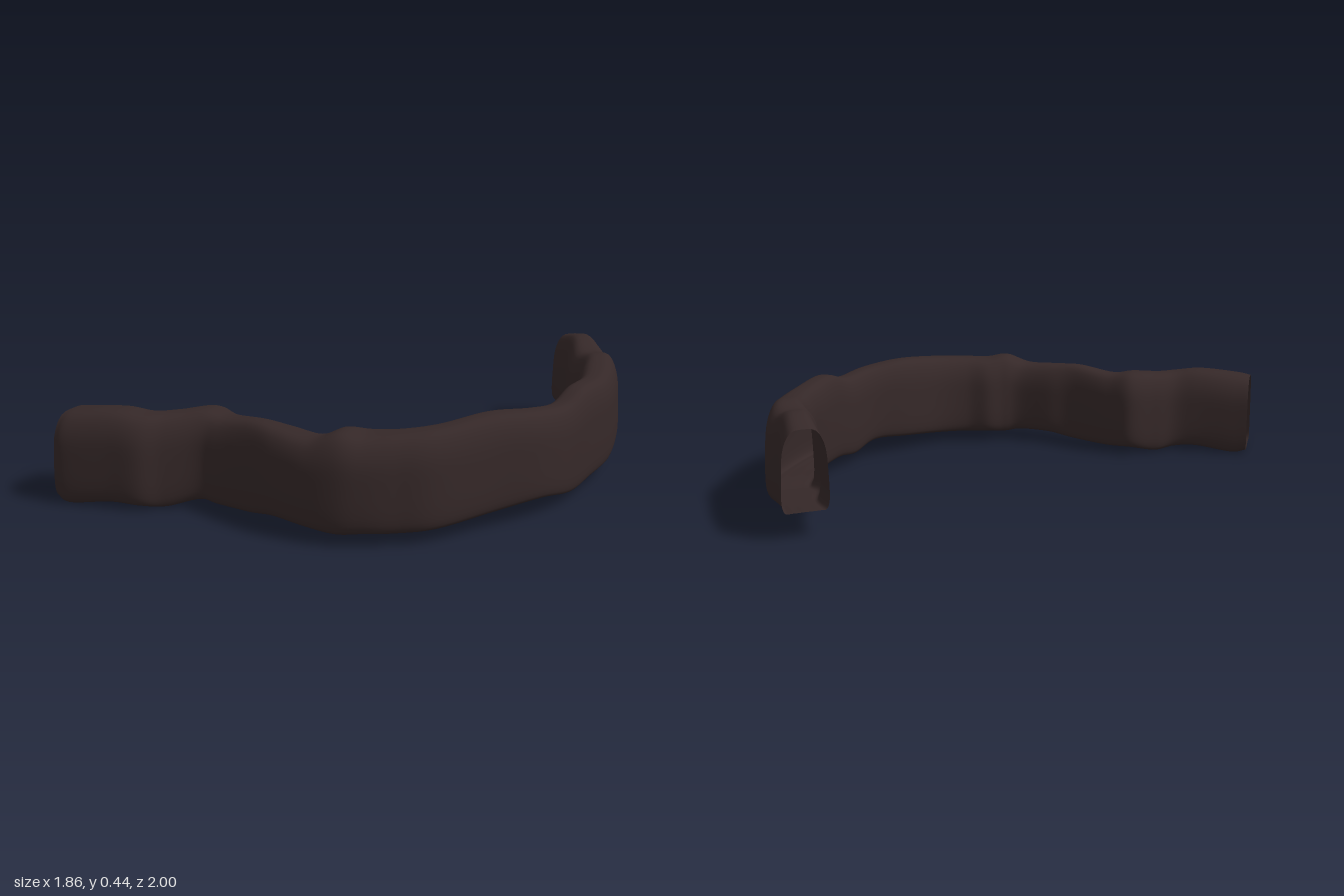
import * as THREE from 'three';

// Stations along the passage: inner x, inner z, outer x, outer z, floor y, roof y
const STATIONS = [
  [-0.93, 0.70, -0.93, 0.98, 0.02, 0.34],
  [-0.86, 0.705, -0.87, 0.995, 0.005, 0.35],
  [-0.70, 0.715, -0.70, 0.97, 0.025, 0.365],
  [-0.60, 0.705, -0.58, 0.95, 0.02, 0.355],
  [-0.52, 0.645, -0.50, 0.89, 0.01, 0.355],
  [-0.41, 0.57, -0.39, 0.83, 0.035, 0.365],
  [-0.29, 0.615, -0.31, 0.835, 0.03, 0.35],
  [-0.12, 0.70, -0.15, 0.87, 0.035, 0.37],
  [0.00, 0.715, -0.03, 0.92, 0.055, 0.365],
  [0.14, 0.74, 0.12, 0.97, 0.055, 0.36],
  [0.21, 0.72, 0.25, 0.975, 0.045, 0.395],
  [0.28, 0.675, 0.35, 0.945, 0.05, 0.385],
  [0.38, 0.66, 0.45, 0.89, 0.05, 0.39],
  [0.49, 0.58, 0.57, 0.80, 0.055, 0.4],
  [0.60, 0.42, 0.71, 0.59, 0.07, 0.415],
  [0.70, 0.28, 0.83, 0.40, 0.08, 0.40],
  [0.74, 0.14, 0.885, 0.20, 0.05, 0.385],
  [0.76, 0.00, 0.915, 0.03, 0.065, 0.42],
  [0.76, -0.19, 0.925, -0.20, 0.065, 0.41],
  [0.725, -0.36, 0.895, -0.43, 0.075, 0.415],
  [0.70, -0.47, 0.85, -0.59, 0.065, 0.425],
  [0.63, -0.56, 0.79, -0.72, 0.075, 0.41],
  [0.57, -0.73, 0.69, -0.85, 0.085, 0.44],
  [0.47, -0.89, 0.61, -1.0, 0.105, 0.41],
];

// Arched half section from floor centre to roof centre (across, up), then mirrored
const HALF = [[0, 0], [0.55, 0], [0.9, 0.015], [1, 0.12], [0.985, 0.45], [0.9, 0.75], [0.6, 0.95], [0, 1]];

function archSection(count) {
  const mirrored = HALF.slice(1, -1).reverse().map(([u, v]) => [-u, v]);
  const pts = [...HALF, ...mirrored].map(([u, v]) => new THREE.Vector3(u, v, 0));
  return new THREE.CatmullRomCurve3(pts, true).getPoints(count);
}

// Skin the arch along the two guide curves, leaving both ends open
function passageGeometry(steps, sides) {
  const guide = (a, b, c) => new THREE.CatmullRomCurve3(
    STATIONS.map((s) => new THREE.Vector3(s[a], s[b], s[c])), false, 'catmullrom', 0.5);
  const inner = guide(0, 4, 1);
  const outer = guide(2, 5, 3);
  const section = archSection(sides);
  const position = [];
  const index = [];
  for (let i = 0; i <= steps; i++) {
    const a = inner.getPoint(i / steps);
    const b = outer.getPoint(i / steps);
    for (let j = 0; j < sides; j++) {
      const { x: u, y: v } = section[j];
      const k = (u + 1) / 2;
      position.push(
        THREE.MathUtils.lerp(a.x, b.x, k),
        THREE.MathUtils.lerp(a.y, b.y, v),
        THREE.MathUtils.lerp(a.z, b.z, k));
      if (i < steps) {
        const n = (j + 1) % sides;
        const p = i * sides + j, q = i * sides + n;
        index.push(p, q, p + sides, q, q + sides, p + sides);
      }
    }
  }
  const geometry = new THREE.BufferGeometry();
  geometry.setAttribute('position', new THREE.Float32BufferAttribute(position, 3));
  geometry.setIndex(index);
  geometry.computeVertexNormals();
  return geometry;
}

export function createModel() {
  const model = new THREE.Group();
  model.name = 'curvedTunnel';
  const rock = new THREE.MeshStandardMaterial({ color: 0x352828, side: THREE.DoubleSide });
  const passage = new THREE.Mesh(passageGeometry(184, 48), rock);
  passage.name = 'tunnelPassage';
  model.add(passage);
  return model;
}
